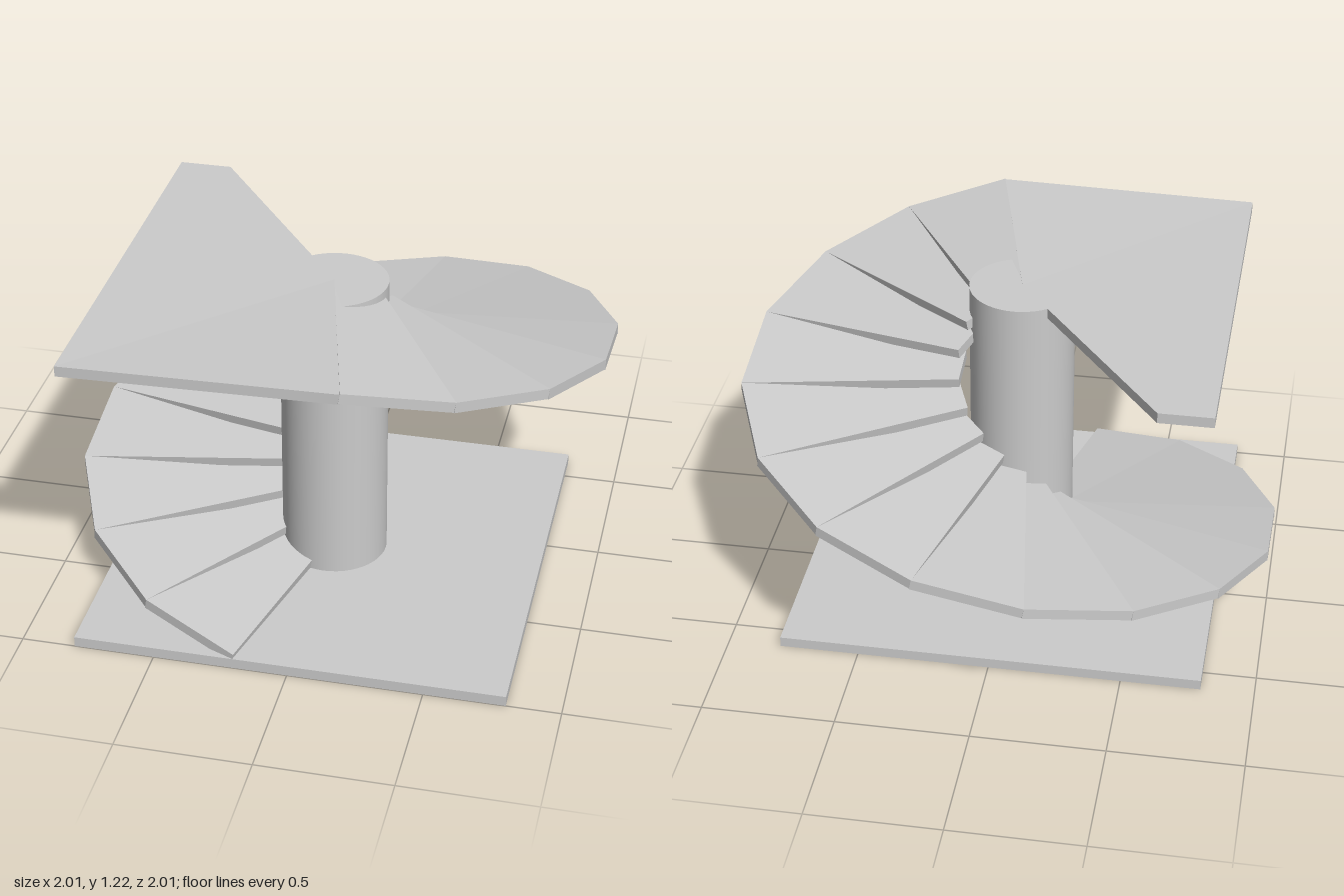
import * as THREE from 'three';

const SLAB = 0.04;            // thickness of base, treads and landing
const TOP = 1.2;              // height of the landing
const TREADS = 15;
const STEP_ANGLE = Math.PI / 8;
const RISE = 0.0775;
const OUTER_HALF = 0.199;     // half width of a tread at the rim
const INNER_HALF = 0.08;      // half width of a tread at the inner end

// Flat slab from [x, z] corners, its top at y = 0
function slab(points) {
  const shape = new THREE.Shape(points.map(([x, z]) => new THREE.Vector2(x, -z)));
  const geo = new THREE.ExtrudeGeometry(shape, { depth: SLAB, bevelEnabled: false });
  return geo.rotateX(-Math.PI / 2).translate(0, -SLAB, 0);
}

export function createModel() {
  const group = new THREE.Group();
  const material = new THREE.MeshStandardMaterial({ color: 0xcccccc });
  const add = (name, geo, parent = group) => {
    const mesh = new THREE.Mesh(geo, material);
    mesh.name = name;
    parent.add(mesh);
    return mesh;
  };

  // Ground slab
  add('base', new THREE.BoxGeometry(1.6, SLAB, 1.6)).position.set(0, SLAB / 2, 0.2);

  // Round post, set forward of the stair's centre
  const columnHeight = TOP - SLAB;
  add('column', new THREE.CylinderGeometry(0.2, 0.2, columnHeight, 48))
    .position.set(0, SLAB + columnHeight / 2, 0.2);

  // Wedge treads, each tilted so that the outer rim climbs without a break
  const stairs = new THREE.Group();
  stairs.name = 'stairs';
  group.add(stairs);
  const tilt = Math.atan(RISE / (2 * OUTER_HALF));
  const stretch = 1 / Math.cos(tilt);
  const treadGeo = slab([
    [-OUTER_HALF * stretch, 1], [OUTER_HALF * stretch, 1],
    [INNER_HALF * stretch, 0.195], [-INNER_HALF * stretch, 0.195],
  ]);
  for (let i = 0; i < TREADS; i++) {
    const tread = add('tread' + (i + 1), treadGeo, stairs);
    tread.position.y = 0.06 + (i + 0.5) * RISE;
    tread.rotation.set(0, -(i + 1) * STEP_ANGLE, -tilt);
  }

  // Upper landing; the corner that meets the last tread is lifted slightly
  const landing = slab([[-0.8, 1], [0.2, 1], [0, 0.2], [-0.6, -0.6], [-0.8, -0.6]]);
  const pos = landing.attributes.position;
  for (let i = 0; i < pos.count; i++) {
    if (pos.getX(i) > 0.1) pos.setY(i, pos.getY(i) + 0.02);
  }
  landing.computeVertexNormals();
  add('landing', landing).position.y = TOP;

  return group;
}
